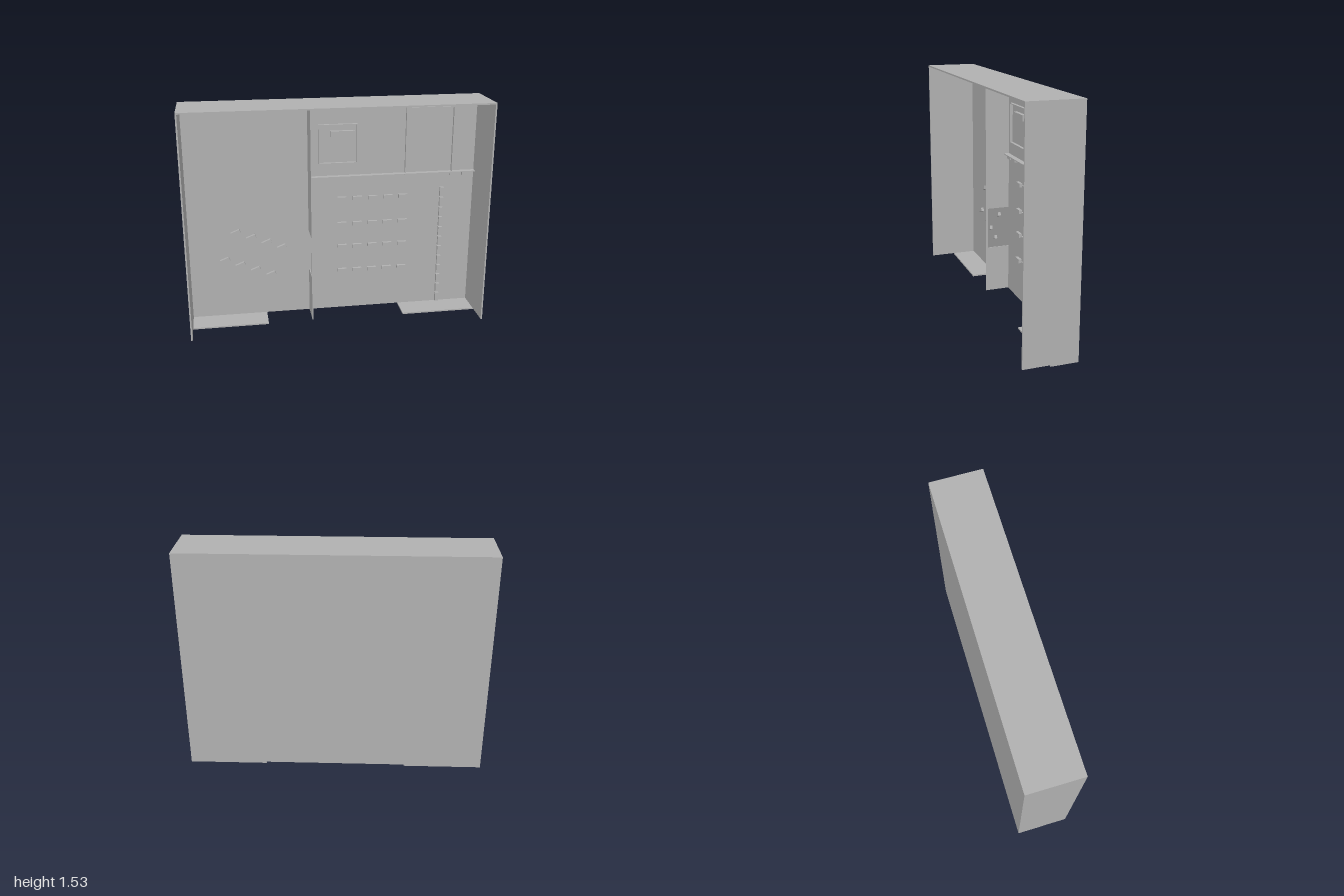
import * as THREE from 'three';

export function createModel() {
  const model = new THREE.Group();
  model.name = 'wallCase';
  const grey = new THREE.MeshStandardMaterial({ color: 0xb0b0b0 });
  grey.name = 'grey';

  // box given by its min and max corners
  const box = (name, x0, x1, y0, y1, z0, z1, parent = model) => {
    const m = new THREE.Mesh(new THREE.BoxGeometry(x1 - x0, y1 - y0, z1 - z0), grey);
    m.name = name;
    m.position.set((x0 + x1) / 2, (y0 + y1) / 2, (z0 + z1) / 2);
    parent.add(m);
    return m;
  };

  const B = -0.175, F = 0.175, IN = -0.167; // back, front, inner face of back panel
  const H = 1.53, BASE = 0.01;

  // shell: open at the front and underneath
  box('backPanel', -1, 1, BASE, H, B, IN);
  box('topPanel', -1, 1, H - 0.01, H, IN, F);
  for (const s of [-1, 1]) {
    const x = s * 0.995;
    box(s < 0 ? 'rightWall' : 'leftWall', x - 0.005, x + 0.005, BASE, H - 0.01, IN, F);
    const f = s * 0.7375;
    box('footPlate', f - 0.2625, f + 0.2625, 0, BASE, B, 0);
  }

  // half-depth divider with a window cut from its back edge
  const profile = new THREE.Shape();
  [[IN, BASE], [0, BASE], [0, H - 0.01], [IN, H - 0.01], [IN, 0.615], [-0.015, 0.615], [-0.015, 0.33], [IN, 0.33]]
    .forEach(([z, y], i) => (i ? profile.lineTo(-z, y) : profile.moveTo(-z, y)));
  const divider = new THREE.Mesh(
    new THREE.ExtrudeGeometry(profile, { depth: 0.006, bevelEnabled: false }), grey);
  divider.name = 'divider';
  divider.rotation.y = Math.PI / 2;
  divider.position.x = -0.171;
  model.add(divider);

  // narrow shelf
  box('shelf', -0.165, 0.99, 0.994, 1.0, IN, -0.13);

  // thin-walled frames on the back panel
  const frame = (name, x0, x1, y0, y1, depth) => {
    const g = new THREE.Group(), t = 0.005, z = IN + depth;
    g.name = name;
    box('frameSide', x0, x0 + t, y0, y1, IN, z, g);
    box('frameSide', x1 - t, x1, y0, y1, IN, z, g);
    box('frameRail', x0 + t, x1 - t, y0, y0 + t, IN, z, g);
    box('frameRail', x0 + t, x1 - t, y1 - t, y1, IN, z, g);
    model.add(g);
  };
  frame('smallFrame', -0.1, 0.165, 1.087, 1.355, 0.02);
  frame('largeFrame', 0.497, 0.83, 0.985, 1.452, 0.02);
  box('frameBar', -0.018, 0.147, 1.27, 1.31, IN, IN + 0.025);

  // small pegs
  const peg = (x, y, angle = 0) => {
    const m = box('peg', x - 0.032, x + 0.032, y - 0.013, y + 0.013, IN, IN + 0.02);
    m.rotation.z = angle;
  };
  for (const y of [0.834, 0.65, 0.484, 0.302])
    for (let i = 0; i < 5; i++) peg(0.062 + i * 0.107, y);
  for (const x of [-0.12, -0.034, 0.85, 0.934]) peg(x, 0.981);
  for (const [x, y] of [[-0.671, 0.628], [-0.751, 0.43]])
    for (let i = 0; i < 4; i++) peg(x + i * 0.1043, y - i * 0.041, 0.38);
  for (let i = 0; i < 12; i++) peg(0.765, 0.046 + i * 0.0733, Math.PI / 2);

  return model;
}
